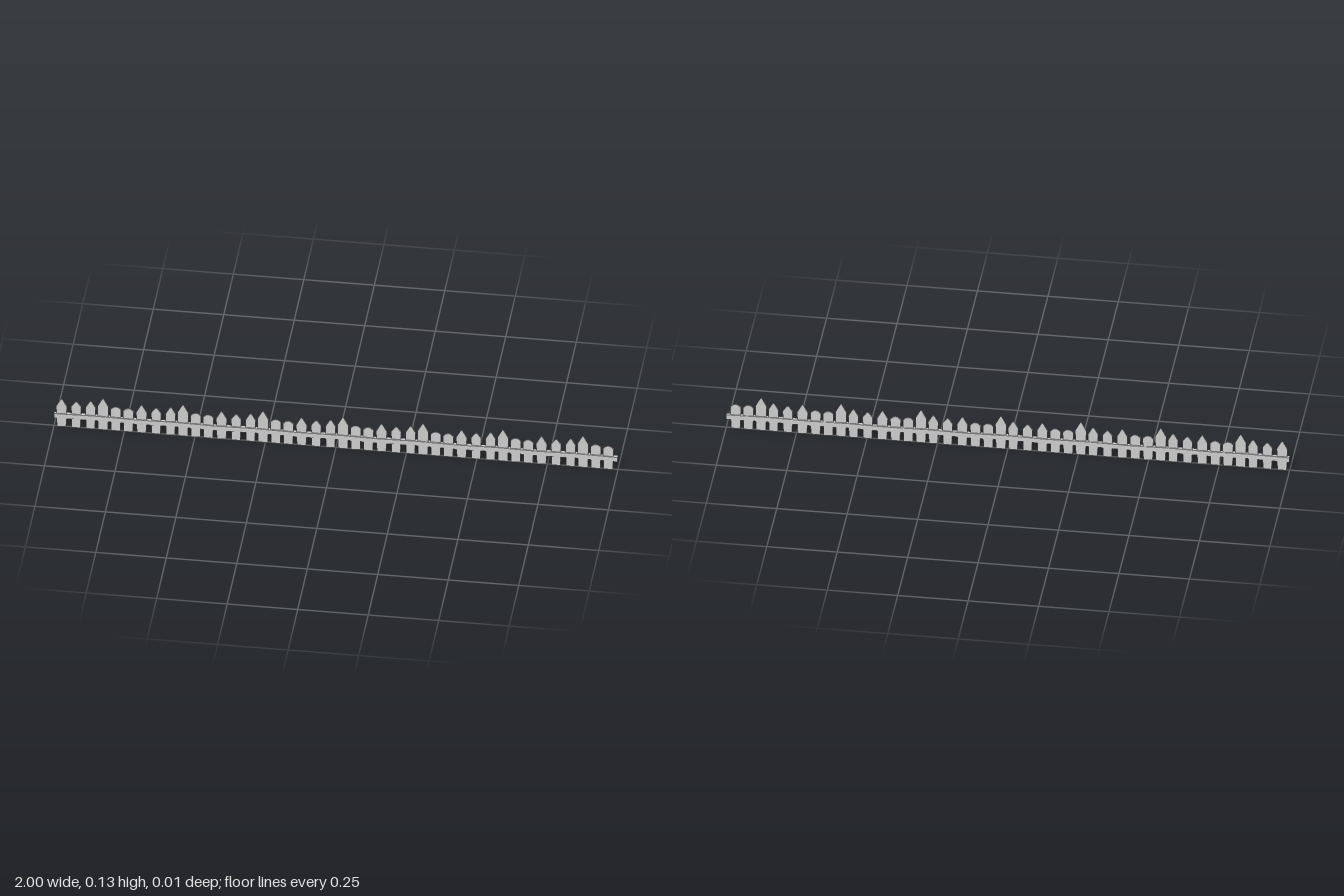
import * as THREE from 'three';

const SECTIONS = 7, PITCH = 0.2837, RAIL = 2 - PITCH * (SECTIONS - 1);

// One section: x from section start, height, shoulder height, half width, tip half width, yaw, lean
const PICKETS = [
  [0.027, 0.117, 0.086, 0.019, 0.003, 0.03, 0.010],
  [0.079, 0.108, 0.087, 0.018, 0.004, -0.04, -0.010],
  [0.130, 0.115, 0.088, 0.018, 0.004, 0.03, -0.008],
  [0.174, 0.132, 0.098, 0.020, 0.003, -0.02, 0.012],
  [0.219, 0.099, 0.087, 0.019, 0.009, 0.04, -0.012],
  [0.264, 0.098, 0.086, 0.019, 0.008, -0.03, 0.008],
];

// Flat board, slightly wider at the shoulder, thinning towards its pointed head
function picketGeometry(height, shoulder, half, tip) {
  const foot = half * 0.86;
  const s = new THREE.Shape();
  s.moveTo(-foot, 0);
  s.lineTo(foot, 0);
  s.lineTo(half, shoulder);
  s.lineTo(tip, height - 0.002);
  s.lineTo(0, height);
  s.lineTo(-tip, height - 0.002);
  s.lineTo(-half, shoulder);
  s.closePath();
  const g = new THREE.ExtrudeGeometry(s, { depth: 0.008, bevelEnabled: false });
  g.translate(0, 0, -0.004);
  const p = g.attributes.position;
  for (let i = 0; i < p.count; i++) {
    const y = p.getY(i);
    p.setZ(i, p.getZ(i) * (y > shoulder + 0.001 ? 0.5 : y > 0.01 ? 0.85 : 1));
  }
  g.computeVertexNormals();
  return g;
}

// Roughly hewn rail with a slight bend
function railGeometry() {
  const g = new THREE.BoxGeometry(RAIL, 0.019, 0.014, 4, 1, 1);
  const p = g.attributes.position;
  for (let i = 0; i < p.count; i++) {
    p.setY(i, p.getY(i) + 0.0012 * Math.cos((p.getX(i) / RAIL) * Math.PI * 2));
  }
  g.computeVertexNormals();
  return g;
}

export function createModel() {
  const model = new THREE.Group();
  model.name = 'picketFence';
  const material = new THREE.MeshStandardMaterial({ color: 0xcccccc, flatShading: true });
  const boards = PICKETS.map(([, h, sh, w, t]) => picketGeometry(h, sh, w, t));
  const rail = railGeometry();

  for (let i = 0; i < SECTIONS; i++) {
    const section = new THREE.Group();
    section.name = 'fenceSection';
    section.position.x = -1 + i * PITCH;

    const beam = new THREE.Mesh(rail, material);
    beam.name = 'rail';
    beam.position.set(RAIL / 2, 0.047, 0);
    section.add(beam);

    PICKETS.forEach(([x, , , , , yaw, lean], k) => {
      const board = new THREE.Mesh(boards[k], material);
      board.name = 'picket';
      board.position.x = x;
      board.rotation.set(lean, yaw, 0);
      section.add(board);
    });
    model.add(section);
  }
  return model;
}
